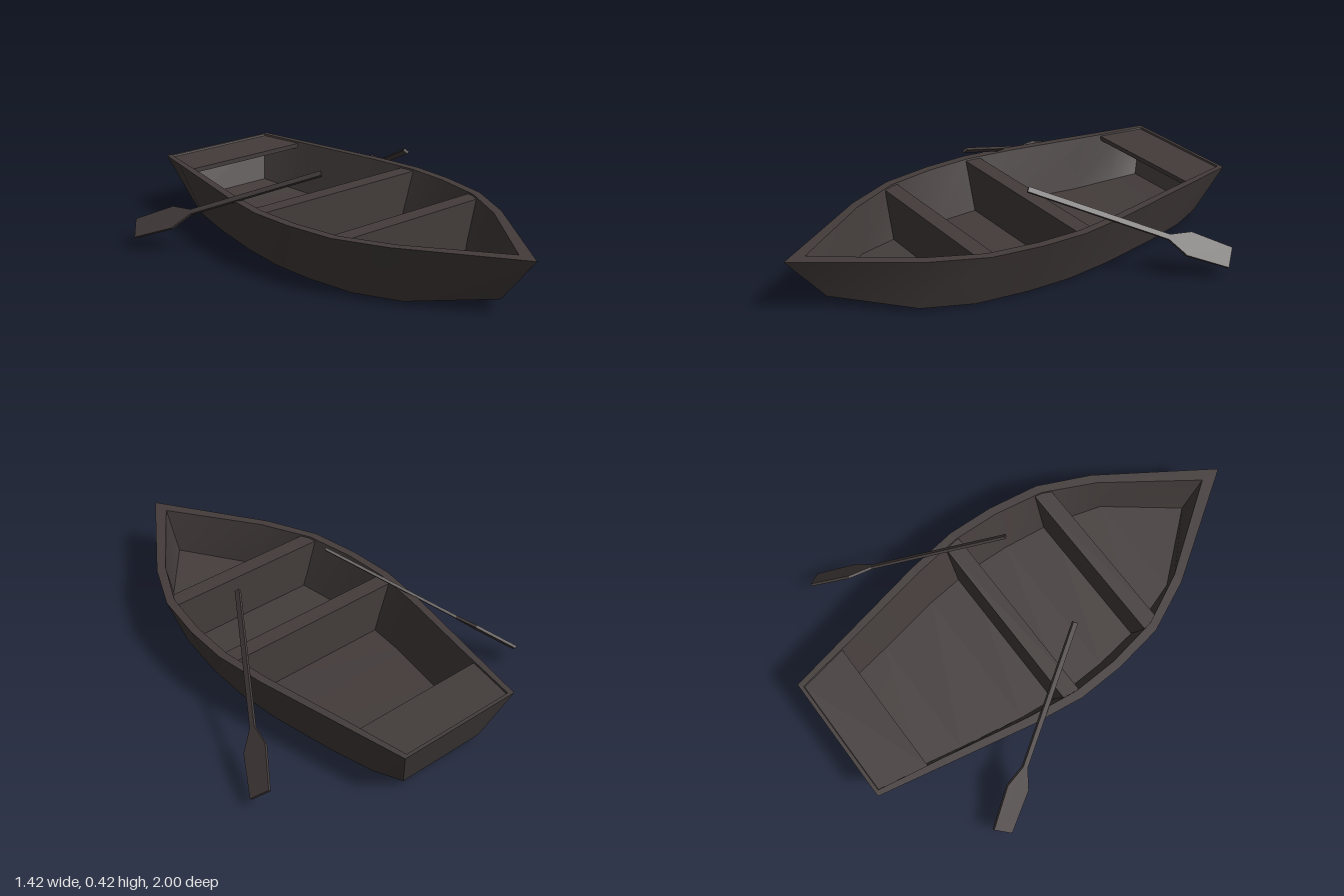
import * as THREE from 'three';
import { toCreasedNormals } from 'three/addons/utils/BufferGeometryUtils.js';

const CENTER_X = -0.015;

// Stations from bow to stern: rim z, rim half width, keel z, keel half width, keel y, rim thickness
const STATIONS = [
  [1.0, 0, 0.83, 0, 0.05, 0],
  [0.537, 0.311, 0.545, 0.242, 0.017, 0.045],
  [0.317, 0.413, 0.33, 0.313, 0.003, 0.039],
  [0.095, 0.449, 0.095, 0.345, 0, 0.037],
  [-0.106, 0.457, -0.106, 0.353, 0, 0.037],
  [-0.33, 0.426, -0.32, 0.332, 0, 0.036],
  [-0.7, 0.35, -0.6, 0.281, 0, 0.032],
  [-0.86, 0.317, -0.79, 0.246, 0.012, 0.027],
  [-1.0, 0.288, -0.92, 0.205, 0.03, 0.021],
];
const RIM_Y = 0.255;
const LAST = STATIONS.length - 1;

// Closed loop around the boat: bow, left side, stern, right side
function loop(pointAt) {
  const side = STATIONS.map((s, i) => pointAt(s, i));
  const mirrored = side.slice(1).reverse().map(([x, y, z]) => [-x, y, z]);
  return [...side, ...mirrored];
}

function hullGeometry() {
  const keel = loop(([, , z, w, y]) => [w, y, z]);
  const rim = loop(([z, w]) => [w, RIM_Y, z]);
  const innerRim = loop(([z, w, , , , t], i) =>
    [w - t, RIM_Y, i === 0 ? 0.91 : i === LAST ? -0.985 : z]);
  const floor = loop(([, , z, w, y], i) =>
    [Math.max(0, w - 0.006), y + 0.03, i === 0 ? 0.82 : i === LAST ? -0.905 : z]);

  const out = [];
  const tri = (a, b, c) => out.push(...a, ...b, ...c);
  const quad = (a, b, c, d) => { tri(a, b, c); tri(a, c, d); };

  // Outer planking, rim and inner planking
  for (const [a, b] of [[keel, rim], [rim, innerRim], [innerRim, floor]]) {
    const n = a.length;
    for (let i = 0; i < n; i++) {
      const j = (i + 1) % n;
      quad(a[i], a[j], b[j], b[i]);
    }
  }
  // Floor faces up, bottom faces down
  for (const [ring, up] of [[floor, true], [keel, false]]) {
    const n = ring.length;
    for (let i = 0; i < LAST; i++) {
      const r0 = ring[i], r1 = ring[i + 1], l1 = ring[n - 1 - i], l0 = ring[(n - i) % n];
      if (i === 0) up ? tri(r0, r1, l1) : tri(r0, l1, r1);
      else up ? quad(r0, r1, l1, l0) : quad(l0, l1, r1, r0);
    }
  }
  const geo = new THREE.BufferGeometry();
  geo.setAttribute('position', new THREE.Float32BufferAttribute(out, 3));
  return toCreasedNormals(geo, THREE.MathUtils.degToRad(32));
}

// Seat block: half width w0 at front z0, w1 at back z1, narrowed by `taper` at its bottom
function seatGeometry({ z0, w0, z1, w1, bottom, taper }) {
  const top = RIM_Y - 0.007;
  const geo = new THREE.BoxGeometry(2, 1, 1);
  const pos = geo.attributes.position;
  for (let i = 0; i < pos.count; i++) {
    const front = pos.getZ(i) > 0, upper = pos.getY(i) > 0;
    const halfWidth = (front ? w0 : w1) * (upper ? 1 : taper);
    pos.setXYZ(i, pos.getX(i) * halfWidth, upper ? top : bottom, front ? z0 : z1);
  }
  geo.computeVertexNormals();
  return geo;
}

// Flat oar: slim shaft widening to a shouldered blade, running along +y
function oarGeometry() {
  const half = [[0.0115, 0], [0.0115, 0.622], [0.054, 0.712], [0.046, 0.9]];
  const points = [...half, ...half.slice().reverse().map(([x, y]) => [-x, y])];
  const shape = new THREE.Shape(points.map(([x, y]) => new THREE.Vector2(x, y)));
  return new THREE.ExtrudeGeometry(shape, { depth: 0.012, bevelEnabled: false })
    .translate(0, 0, -0.006);
}

export function createModel() {
  const wood = new THREE.MeshStandardMaterial({ color: 0x433c3b });
  wood.name = 'dark wood';
  const model = new THREE.Group();
  model.name = 'rowingBoat';

  const add = (name, geometry, parent) => {
    const mesh = new THREE.Mesh(geometry, wood);
    mesh.name = name;
    parent.add(mesh);
    return mesh;
  };

  const boat = new THREE.Group();
  boat.name = 'boat';
  boat.position.x = CENTER_X;
  model.add(boat);

  add('hull', hullGeometry(), boat);

  // Thin stern seat, and two cross seats closed down to the floor
  const seats = {
    sternSeat: { z0: -0.77, w0: 0.306, z1: -0.984, w1: 0.268, bottom: 0.228, taper: 1 },
    middleSeat: { z0: -0.093, w0: 0.424, z1: -0.165, w1: 0.42, bottom: 0.02, taper: 0.81 },
    frontSeat: { z0: 0.357, w0: 0.37, z1: 0.285, w1: 0.388, bottom: 0.02, taper: 0.79 },
  };
  for (const [name, size] of Object.entries(seats)) add(name, seatGeometry(size), boat);

  // Oars resting across the rim, blades out and aft
  for (const [name, s] of [['leftOar', 1], ['rightOar', -1]]) {
    const along = new THREE.Vector3(0.445 * s, -0.32, -0.7).normalize();
    const across = new THREE.Vector3(-0.495 * s, 0.627, -0.597);
    across.addScaledVector(along, -across.dot(along)).normalize();
    const normal = new THREE.Vector3().crossVectors(across, along);
    const oar = add(name, oarGeometry(), model);
    oar.quaternion.setFromRotationMatrix(new THREE.Matrix4().makeBasis(across, along, normal));
    oar.position.set(0.235 * s, 0.405, 0.035);
  }
  return model;
}
